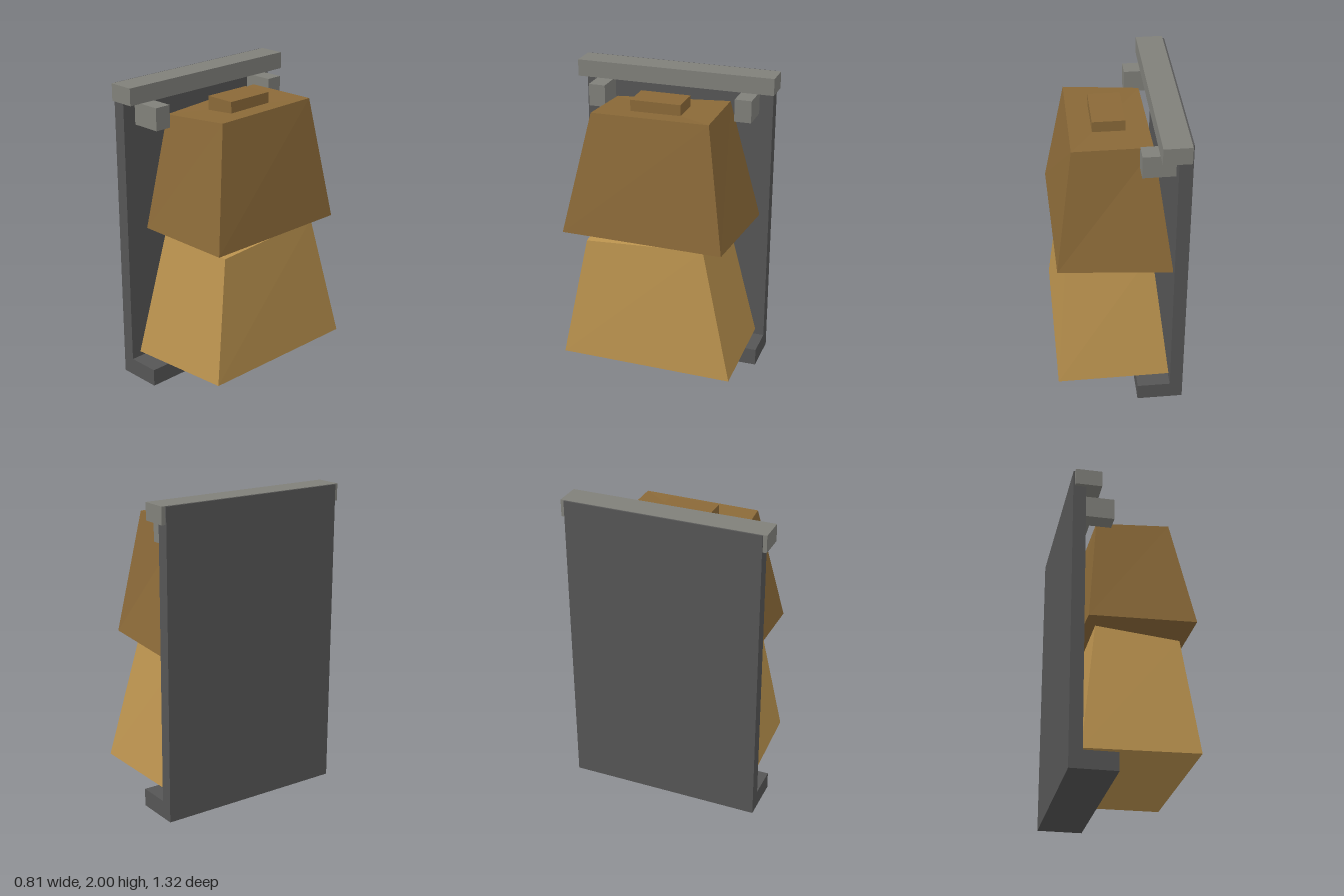
import * as THREE from 'three';

const mat = (name, color) => {
  const m = new THREE.MeshStandardMaterial({ color });
  m.name = name;
  m.flatShading = true;
  return m;
};

// Block with eight free corners: bottom then top, each front-left, front-right, back-right, back-left
function skewedBlock(bottom, top) {
  const index = [0, 3, 2, 0, 2, 1, 4, 5, 6, 4, 6, 7];
  for (let i = 0; i < 4; i++) {
    const j = (i + 1) % 4;
    index.push(i, j, j + 4, i, j + 4, i + 4);
  }
  const geo = new THREE.BufferGeometry();
  geo.setAttribute('position', new THREE.Float32BufferAttribute([...bottom, ...top].flat(), 3));
  geo.setIndex(index);
  const flat = geo.toNonIndexed();
  flat.computeVertexNormals();
  return flat;
}

export function createModel() {
  const group = new THREE.Group();
  const darkGrey = mat('dark grey', 0x555555);
  const lightGrey = mat('light grey', 0x80807a);
  const brown = mat('brown', 0x8a6938);
  const tan = mat('tan', 0xba924e);

  const add = (name, geo, material) => {
    const mesh = new THREE.Mesh(geo, material);
    mesh.name = name;
    group.add(mesh);
    return mesh;
  };
  // Box given by its extents on each axis
  const box = (name, material, [x0, x1], [y0, y1], [z0, z1]) =>
    add(name, new THREE.BoxGeometry(x1 - x0, y1 - y0, z1 - z0), material)
      .position.set((x0 + x1) / 2, (y0 + y1) / 2, (z0 + z1) / 2);

  // Frame: upright panel, foot ledge, top rail and two brackets
  box('backPanel', darkGrey, [-0.41, -0.327], [0, 1.998], [-0.635, 0.635]);
  box('footLedge', darkGrey, [-0.327, -0.113], [0, 0.115], [-0.635, 0.635]);
  box('topRail', lightGrey, [-0.4, -0.228], [1.89, 2], [-0.66, 0.66]);
  for (const [name, z] of [['frontBracket', 0.49], ['backBracket', -0.49]]) {
    box(name, lightGrey, [-0.327, -0.127], [1.73, 1.875], [z - 0.055, z + 0.055]);
  }

  // Two tapering, slightly crooked blocks, one above the other
  add('lowerBlock', skewedBlock(
    [[-0.325, 0.15, 0.57], [0.405, 0.175, 0.545], [0.405, 0.165, -0.59], [-0.325, 0.155, -0.575]],
    [[-0.22, 1.03, 0.4], [0.32, 0.975, 0.4], [0.325, 1.02, -0.38], [-0.22, 1.035, -0.38]]
  ), tan);
  add('upperBlock', skewedBlock(
    [[-0.28, 1.042, 0.515], [0.403, 1.052, 0.53], [0.385, 1.032, -0.515], [-0.33, 1.025, -0.572]],
    [[-0.215, 1.785, 0.38], [0.272, 1.828, 0.37], [0.275, 1.835, -0.39], [-0.215, 1.832, -0.385]]
  ), brown);

  // Raised studs on the block tops
  box('lowerStud', brown, [-0.05, 0.17], [0.95, 1.07], [-0.17, 0.17]);
  box('upperStud', brown, [-0.07, 0.132], [1.77, 1.89], [-0.165, 0.162]);

  return group;
}
